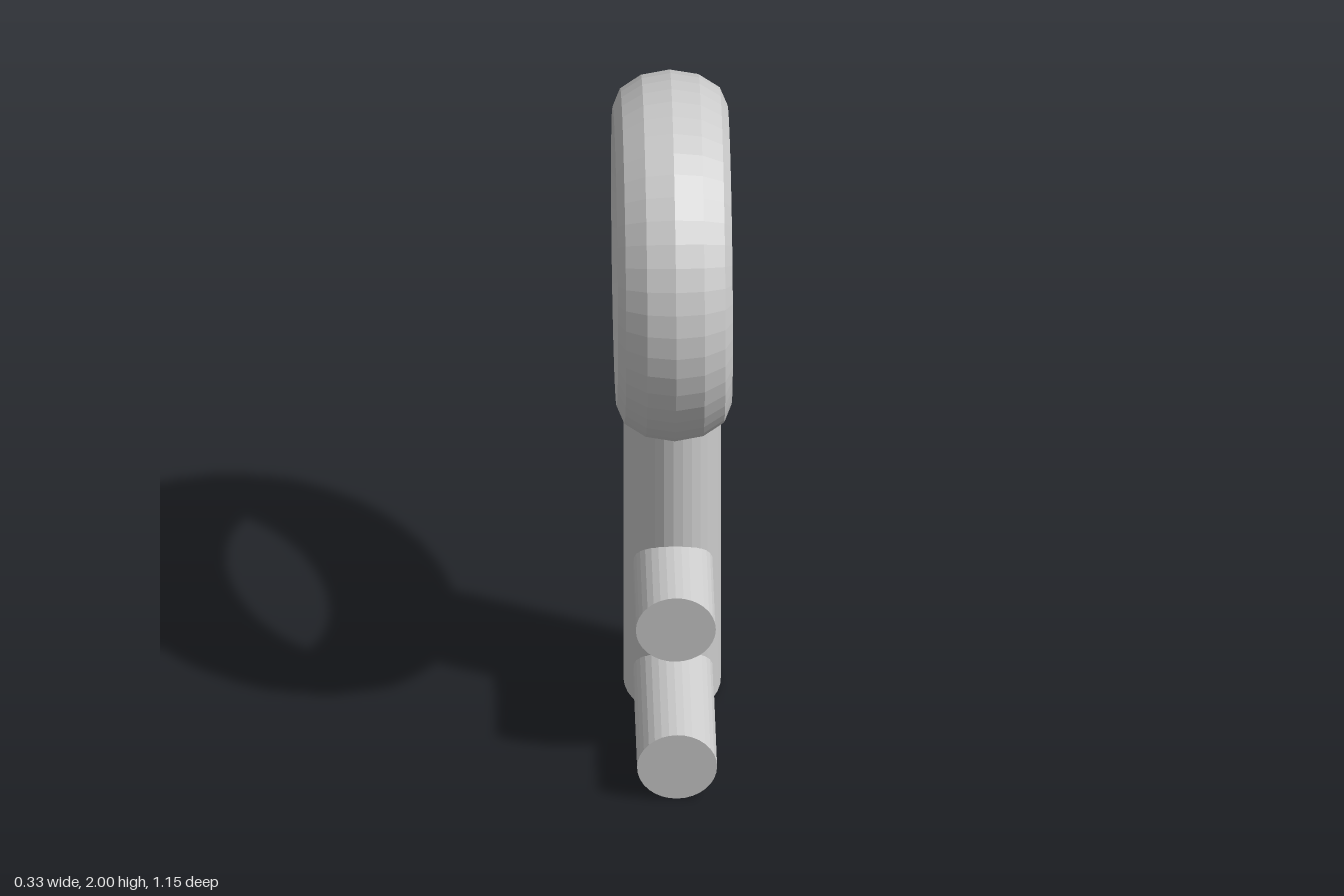
import * as THREE from 'three';

export function createModel() {
  const key = new THREE.Group();
  key.name = 'key';
  const material = new THREE.MeshStandardMaterial({ color: 0xcccccc, flatShading: true });

  const add = (name, geometry, x, y, z) => {
    const mesh = new THREE.Mesh(geometry, material);
    mesh.name = name;
    mesh.position.set(x, y, z);
    key.add(mesh);
  };

  // Ring handle: torus with an oval section, wider along its axis (x)
  const ring = new THREE.TorusGeometry(0.43, 0.105, 12, 48);
  ring.scale(1, 1, 0.165 / 0.105).rotateY(Math.PI / 2);
  add('ringHandle', ring, 0, 1.465, -0.04);

  // Oval shaft, its top buried in the ring
  const bottom = 0.01, top = 1.05;
  const shaft = new THREE.CylinderGeometry(1, 1, top - bottom, 32);
  shaft.scale(0.14, 1, 0.186);
  add('shaft', shaft, 0, (top + bottom) / 2, -0.025);

  // Two round teeth reaching forward from inside the shaft
  const back = -0.12;
  for (const [name, y, front] of [['upperTooth', 0.48, 0.425], ['lowerTooth', 0.11, 0.58]]) {
    const tooth = new THREE.CylinderGeometry(1, 1, front - back, 32);
    tooth.rotateX(Math.PI / 2).scale(0.115, 0.11, 1);
    add(name, tooth, 0, y, (front + back) / 2);
  }
  return key;
}
